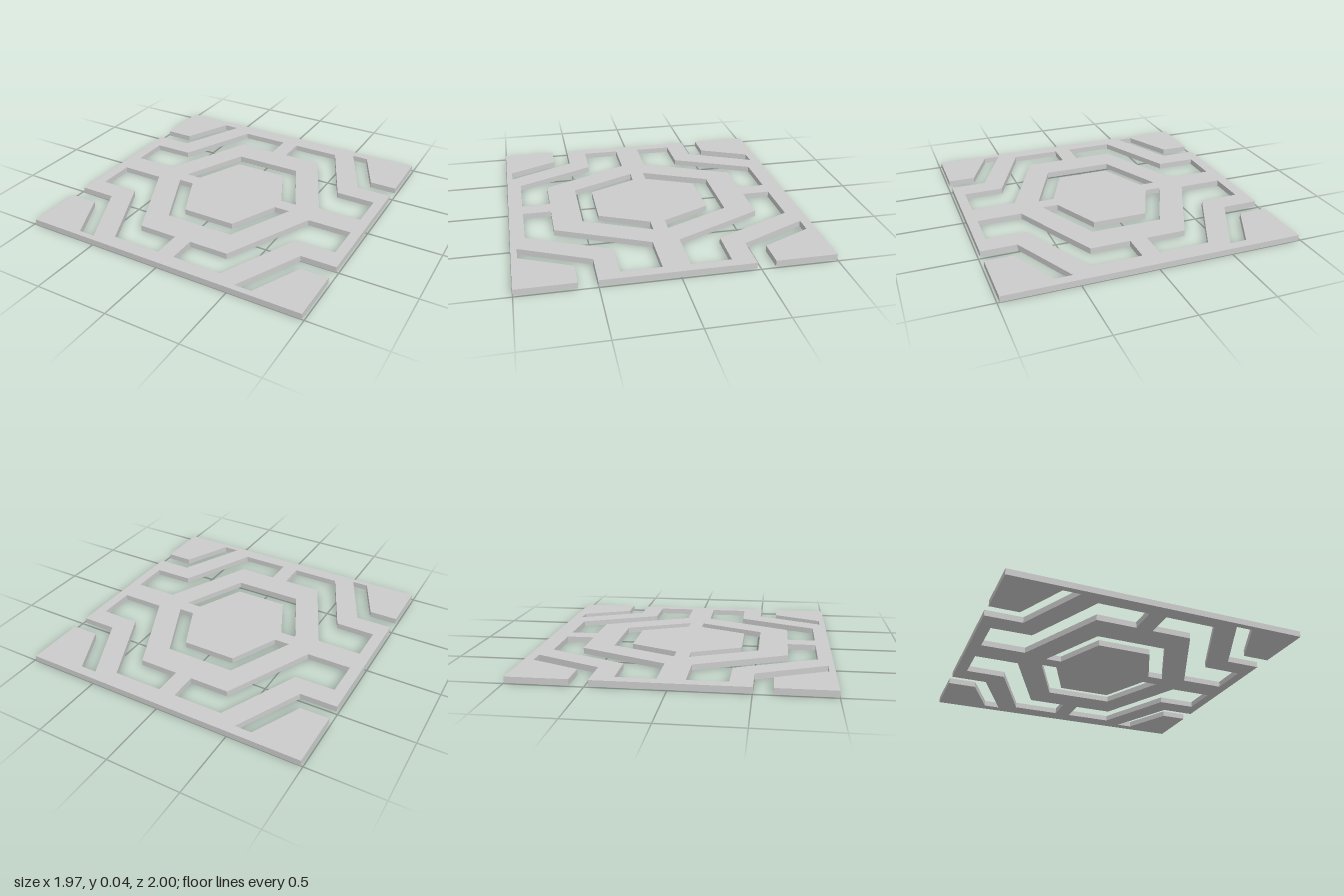
import * as THREE from 'three';

const THICKNESS = 0.04;
const HALF_WIDTH = 0.985;
const HALF_DEPTH = 1;
// The cut-out pattern sits slightly off the plate's centre.
const CX = 0.004;
const CZ = 0.0125;

// Mirror quarter points into quadrant (sx, sz); reverse to keep a continuous path.
function place(points, sx, sz, reverse = false) {
  const out = points.map(([u, v]) => new THREE.Vector2(CX + sx * u, CZ + sz * v));
  return reverse ? out.reverse() : out;
}

export function createModel() {
  const group = new THREE.Group();
  group.name = 'hexagonPanel';

  // Corner slot, open at the side edge.
  const slot = [[0.74, 0.49], [0.525, 0.9475], [0.638, 0.9475], [0.795, 0.61]];
  const outline = [];
  for (const [sx, sz] of [[1, 1], [-1, 1], [-1, -1], [1, -1]]) {
    const x = sx * HALF_WIDTH;
    const quarter = [
      new THREE.Vector2(x, CZ + sz * 0.49),
      ...place(slot, sx, sz),
      new THREE.Vector2(x, CZ + sz * 0.61),
      new THREE.Vector2(x, sz * HALF_DEPTH),
    ];
    outline.push(...(sx * sz > 0 ? quarter : quarter.reverse()));
  }
  const shape = new THREE.Shape(outline);

  // Four bent windows between the outer frame and the hexagonal band.
  const bentWindow = [
    [0.058, 0.89], [0.395, 0.89], [0.64, 0.35], [0.912, 0.347],
    [0.912, 0.0885], [0.61, 0.0885], [0.328, 0.6975], [0.058, 0.6975],
  ];
  for (const sx of [1, -1]) {
    for (const sz of [1, -1]) shape.holes.push(new THREE.Path(place(bentWindow, sx, sz)));
  }

  // Two half-ring windows around the central hexagon.
  const outerSide = [[0.447, 0.05], [0.241, 0.5]];
  const innerSide = [[0.186, 0.382], [0.338, 0.05]];
  for (const sz of [1, -1]) {
    shape.holes.push(new THREE.Path([
      ...place(outerSide, 1, sz),
      ...place(outerSide, -1, sz, true),
      ...place(innerSide, -1, sz, true),
      ...place(innerSide, 1, sz),
    ]));
  }

  // Lay the extruded plate flat on the ground.
  const geometry = new THREE.ExtrudeGeometry(shape, { depth: THICKNESS, bevelEnabled: false });
  geometry.rotateX(Math.PI / 2);
  geometry.translate(0, THICKNESS, 0);

  const panel = new THREE.Mesh(geometry, new THREE.MeshStandardMaterial({ color: 0xcccccc }));
  panel.name = 'panel';
  group.add(panel);
  return group;
}
